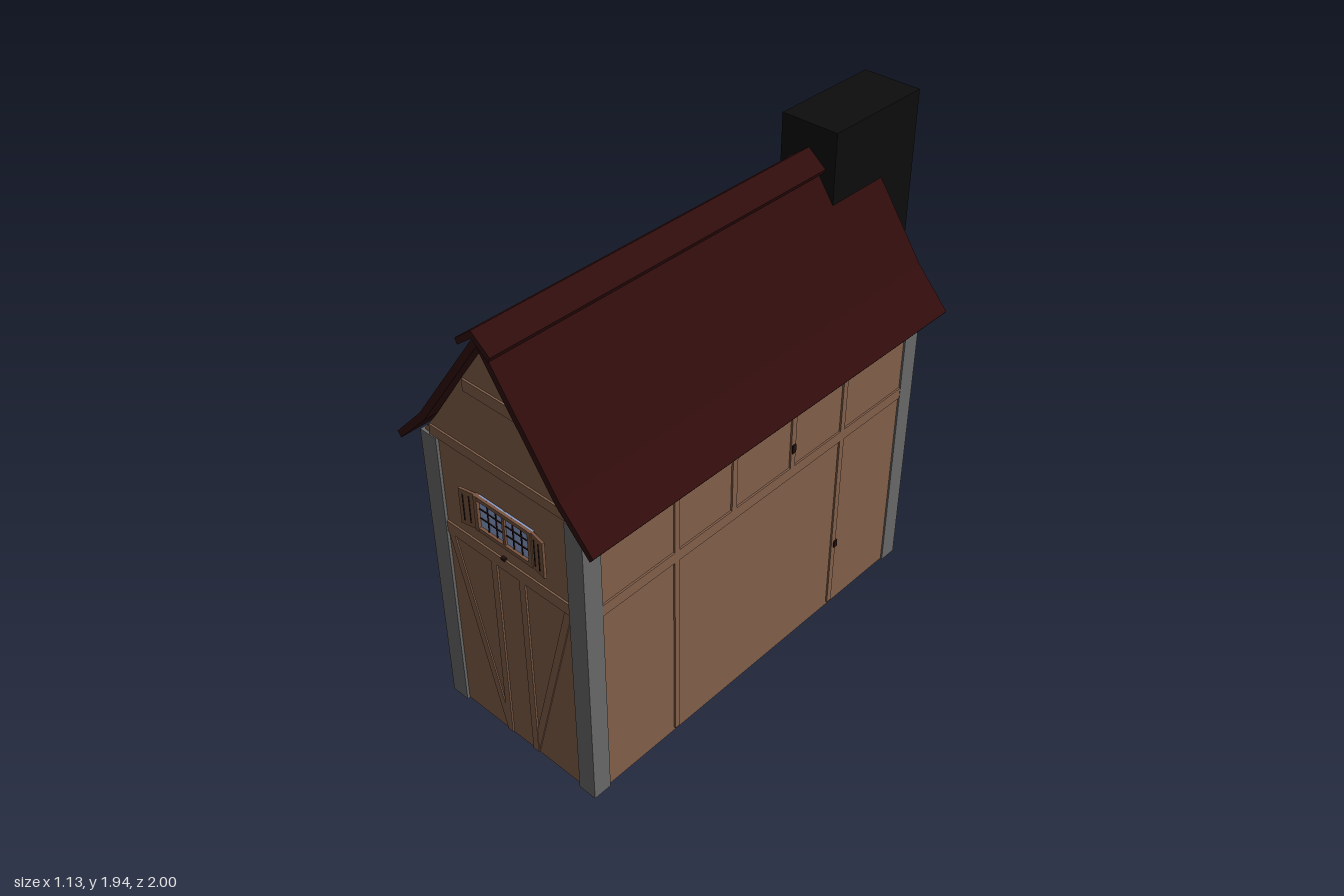
import * as THREE from 'three';

const mat = (name, color) => {
  const m = new THREE.MeshStandardMaterial({ color });
  m.name = name;
  return m;
};
const CX = 0.107; // house axis in x

export function createModel() {
  const house = new THREE.Group();
  house.name = 'house';
  const wood = mat('brown timber', 0x84604b);
  const trim = mat('trim wood', 0x7a5540);
  const stone = mat('grey stone', 0x6a6a6b);
  const tiles = mat('dark red tiles', 0x300c0c);
  const soot = mat('black', 0x0d0d0d);
  const iron = mat('dark iron', 0x22100d);
  const glass = mat('window glass', 0x8fa3d2);

  const add = (parent, name, geometry, material) => {
    const mesh = new THREE.Mesh(geometry, material);
    mesh.name = name;
    parent.add(mesh);
    return mesh;
  };
  // box given by its limits on each axis
  const box = (parent, name, m, x0, x1, y0, y1, z0, z1) => {
    const b = add(parent, name, new THREE.BoxGeometry(x1 - x0, y1 - y0, z1 - z0), m);
    b.position.set((x0 + x1) / 2, (y0 + y1) / 2, (z0 + z1) / 2);
    return b;
  };
  // outline in x and y, extruded from z0 to z1
  const prism = (parent, name, m, pts, z0, z1) => {
    const shape = new THREE.Shape(pts.map(p => new THREE.Vector2(p[0], p[1])));
    const g = new THREE.ExtrudeGeometry(shape, { depth: z1 - z0, bevelEnabled: false });
    return add(parent, name, g.translate(0, 0, z0), m);
  };
  // completes half an outline by mirroring it about the house axis
  const mirrored = half => [
    ...half.map(([d, y]) => [CX - d, y]),
    ...half.slice().reverse().map(([d, y]) => [CX + d, y]),
  ];

  // walls with gables
  prism(house, 'walls', wood,
    [...mirrored([[0.362, 0.05], [0.362, 1.275], [0.297, 1.36]]).slice(0, 3), [CX, 1.79],
      [CX + 0.297, 1.36], [CX + 0.362, 1.275], [CX + 0.362, 0.05]], -0.76, 0.94);

  // stone corner posts
  for (const x of [-0.268, 0.4])
    for (const z of [-0.768, 0.875])
      box(house, 'cornerPost', stone, x, x + 0.076, 0.047, 1.27, z, z + 0.076);

  // kinked roof slopes and ridge cap
  for (const s of [-1, 1]) {
    const pts = [[0, 1.83], [0.317, 1.385], [0.453, 1.24], [0.438, 1.22], [0.3, 1.362], [0, 1.785]];
    prism(house, 'roofSlope', tiles, pts.map(([d, y]) => [CX + s * d, y]), -0.81, 0.985);
  }
  prism(house, 'ridgeCap', tiles,
    [[0.03, 1.79], [CX, 1.85], [0.184, 1.79], [0.174, 1.77], [CX, 1.822], [0.04, 1.77]], -0.81, 1.0);

  // chimney
  box(house, 'chimney', soot, -0.015, 0.225, 0, 1.94, -1, -0.53);

  // steps, widening toward the wall
  [[-0.57, 0.1175, 0.277], [-0.505, 0.108, 0.233], [-0.437, 0.095, 0.184], [-0.37, 0.08, 0.133]]
    .forEach(([x, outer, inner], i) => {
      const pts = [[x, -outer], [-0.26, -inner], [-0.26, inner], [x, outer]];
      const step = prism(house, 'step', stone, pts, 0, 0.019);
      step.rotation.x = -Math.PI / 2;
      step.position.set(0, 0.08 + i * 0.019, 0.555);
    });

  // wall frames: local x runs along the wall, local z points outward
  const face = (name, x, z, turn) => {
    const g = new THREE.Group();
    g.name = name;
    g.position.set(x, 0, z);
    g.rotation.y = turn;
    house.add(g);
    return g;
  };
  const front = face('frontWall', 0, 0.94, 0);
  const doorSide = face('doorWall', CX - 0.362, 0, -Math.PI / 2);
  const plainSide = face('plainWall', CX + 0.362, 0, Math.PI / 2);
  const back = face('backWall', 0, -0.76, Math.PI);
  const beam = (g, x0, x1, y0, y1, out = 0.007) => box(g, 'beam', wood, x0, x1, y0, y1, -0.01, out);

  // front framing
  beam(front, -0.19, 0.4, 0.872, 0.92);
  beam(front, -0.225, 0.44, 1.27, 1.31);
  beam(front, -0.03, 0.245, 1.54, 1.585);
  for (const s of [-1, 1]) {
    const x = CX + s * 0.068;
    beam(front, x - 0.014, x + 0.014, 0.055, 0.872);
    prism(front, 'brace', wood,
      [[0.295, 0.872], [0.265, 0.872], [0.082, 0.17], [0.082, 0.055]].map(([d, y]) => [CX + s * d, y]),
      -0.01, 0.005);
  }
  // side framing
  for (const [g, s] of [[plainSide, -1], [doorSide, 1]]) {
    const ends = [s * 0.875, s * -0.69].sort((a, b) => a - b);
    beam(g, ends[0], ends[1], 0.872, 0.917);
    const lower = s < 0 ? [0.532, -0.342] : [0.235, -0.36];
    const upper = s < 0 ? [0.532, 0.25, -0.058, -0.342] : [0.245, -0.36];
    for (const z of lower) beam(g, s * z - 0.012, s * z + 0.012, 0.065, 0.872);
    for (const z of upper) beam(g, s * z - 0.012, s * z + 0.012, 0.917, 1.25);
  }
  beam(doorSide, -0.69, 0.4, 0.26, 0.3);

  // back beams with iron straps
  for (const y of [0.875, 1.265]) {
    beam(back, -0.4, 0.19, y, y + 0.045, 0.025);
    for (const x of [-0.36, -0.29, 0.06, 0.13])
      box(back, 'ironStrap', iron, x - 0.015, x + 0.015, y - 0.004, y + 0.049, 0, 0.03);
  }
  beam(back, -0.245, 0.03, 1.54, 1.585, 0.025);

  // iron fittings on the beams
  const fitting = (g, x, y, h) => box(g, 'ironFitting', iron, x - 0.009, x + 0.009, y - h / 2, y + h / 2, 0, 0.012);
  fitting(plainSide, 0.058, 1.0, 0.035);
  fitting(plainSide, 0.35, 0.365, 0.03);
  fitting(doorSide, -0.36, 0.83, 0.09);
  fitting(doorSide, -0.36, 0.34, 0.09);
  fitting(doorSide, -0.04, 0.93, 0.012);
  fitting(front, 0.092, 0.924, 0.01);

  // leaded window with open shutters
  const windowAt = (wall, x, y, w, h, rows, shutterW, angle) => {
    const g = new THREE.Group();
    g.name = 'window';
    g.position.set(x, y, 0);
    wall.add(g);
    const a = w / 2, b = h / 2, t = 0.016;
    box(g, 'glass', glass, -a, a, -b, b, 0, 0.006);
    for (const s of [-1, 1]) {
      box(g, 'frameSide', trim, s * (a - t / 2) - t / 2, s * (a - t / 2) + t / 2, -b, b, 0, 0.018);
      box(g, 'frameRail', trim, -a, a, s * (b - t / 2) - t / 2, s * (b - t / 2) + t / 2, 0, 0.017);
      for (const k of [1, 2]) {
        const bx = s * (a - t) * k / 3;
        box(g, 'leadBar', iron, bx - 0.002, bx + 0.002, -b, b, 0.004, 0.009);
      }
      const shutter = new THREE.Group();
      shutter.name = 'shutter';
      shutter.position.set(s * a, 0, 0.004);
      shutter.rotation.y = -s * angle;
      g.add(shutter);
      const mid = s * shutterW / 2;
      box(shutter, 'shutterBoard', trim, mid - shutterW / 2, mid + shutterW / 2, -b, b, 0, 0.01);
      for (const k of [-0.5, 0.3])
        box(shutter, 'shutterSlot', iron, mid + k * shutterW / 2 - 0.002, mid + k * shutterW / 2 + 0.002,
          -b * 0.75, b * 0.75, 0.008, 0.012);
    }
    box(g, 'mullion', trim, -0.006, 0.006, -b, b, 0, 0.014);
    for (let i = 1; i < rows; i++) {
      const by = -b + t + (h - 2 * t) * i / rows;
      box(g, 'leadBar', iron, -a + t, a - t, by - 0.002, by + 0.002, 0.004, 0.009);
    }
  };
  windowAt(front, 0.113, 1.062, 0.27, 0.148, 3, 0.065, 0.18);
  windowAt(doorSide, -0.04, 1.065, 0.23, 0.14, 3, 0.07, 0.4);
  windowAt(doorSide, -0.04, 0.595, 0.23, 0.28, 4, 0.1, 0.45);
  box(doorSide, 'windowLintel', trim, -0.17, 0.09, 0.735, 0.76, 0, 0.025);

  // small shuttered hatch
  box(doorSide, 'hatch', trim, -0.61, -0.5, 0.465, 0.73, 0, 0.03);
  box(doorSide, 'hatchLintel', trim, -0.625, -0.485, 0.73, 0.755, 0, 0.035);
  box(doorSide, 'hatchSlot', iron, -0.585, -0.575, 0.49, 0.71, 0.025, 0.033);
  box(doorSide, 'hatchSlot', iron, -0.535, -0.525, 0.49, 0.71, 0.025, 0.033);
  for (const y of [0.475, 0.7])
    box(doorSide, 'hatchStrap', iron, -0.613, -0.497, y, y + 0.018, 0, 0.034);

  // door with pointed head
  prism(doorSide, 'door', soot, [[0.44, 0.14], [0.68, 0.14], [0.68, 0.57], [0.56, 0.645], [0.44, 0.57]], 0, 0.009);
  for (const s of [-1, 1]) {
    const x = 0.56 + s * 0.128;
    box(doorSide, 'doorJamb', trim, x - 0.012, x + 0.012, 0.14, 0.57, 0, 0.02);
    prism(doorSide, 'doorLintel', trim,
      [[0, 0.645], [0.15, 0.56], [0.15, 0.59], [0, 0.677]].map(([d, y]) => [0.56 + s * d, y]), 0, 0.024);
  }
  for (const y of [0.25, 0.48])
    box(doorSide, 'doorHinge', iron, 0.45, 0.6, y, y + 0.015, 0.006, 0.013);

  return house;
}
